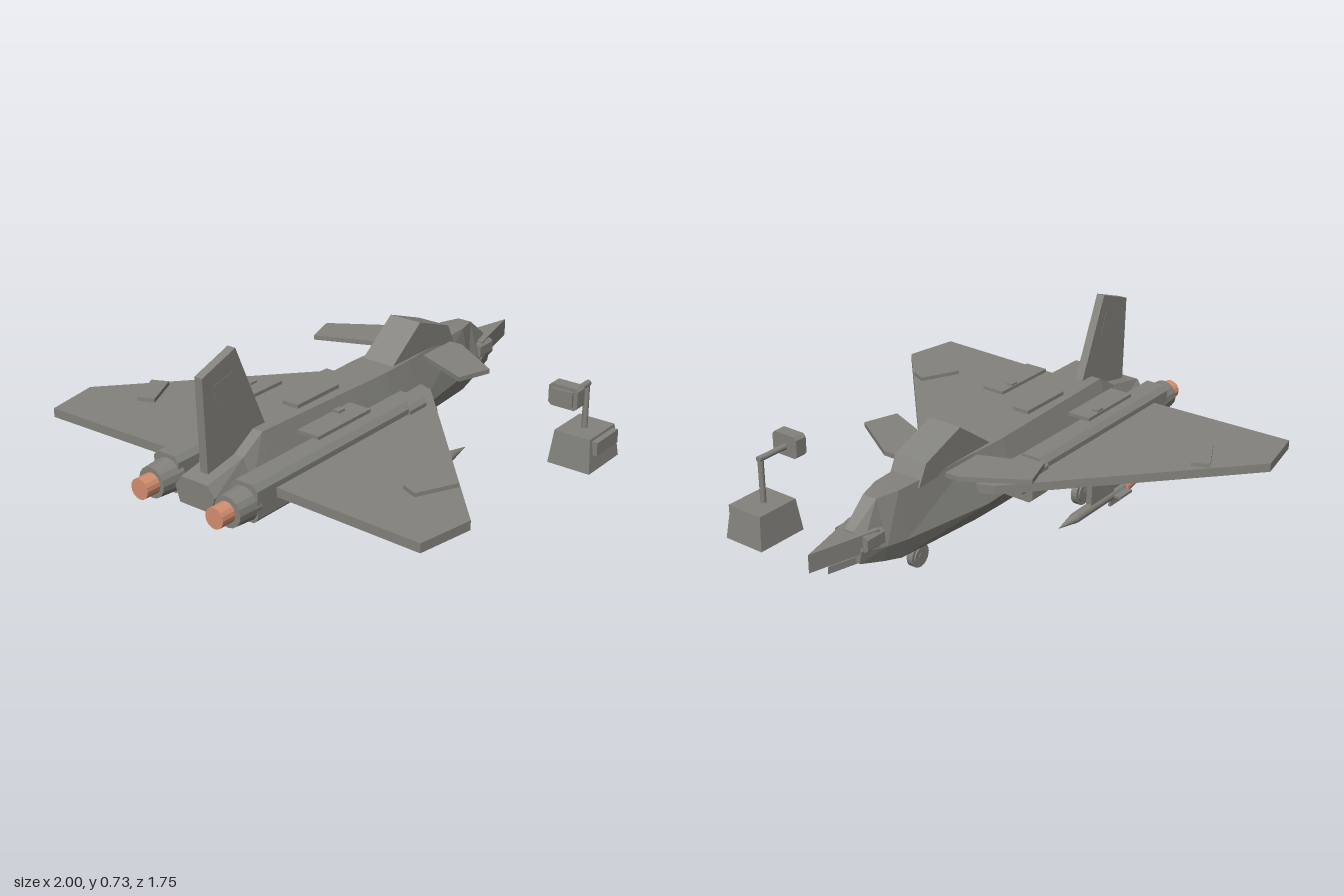
import * as THREE from 'three';

const hull = new THREE.MeshStandardMaterial({ color: 0x83827c });
hull.name = 'hull grey';
const copper = new THREE.MeshStandardMaterial({ color: 0xd48f70 });
copper.name = 'copper';
for (const m of [hull, copper]) m.flatShading = true;

export function createModel() {
  const root = new THREE.Group();
  root.name = 'jetAircraft';

  const add = (name, geo, x = 0, y = 0, z = 0, mat = hull, parent = root) => {
    const mesh = new THREE.Mesh(geo, mat);
    mesh.name = name;
    mesh.position.set(x, y, z);
    parent.add(mesh);
    return mesh;
  };
  // box given by its limits
  const box = (name, x0, x1, y0, y1, z0, z1) =>
    add(name, new THREE.BoxGeometry(x1 - x0, y1 - y0, z1 - z0), (x0 + x1) / 2, (y0 + y1) / 2, (z0 + z1) / 2);
  // round part lying along x, r1 at the +x end
  const rod = (name, x0, x1, r0, r1, y, z, mat = hull, sides = 16) =>
    add(name, new THREE.CylinderGeometry(r1, r0, x1 - x0, sides).rotateZ(-Math.PI / 2), (x0 + x1) / 2, y, z, mat);
  const shape = pts => new THREE.Shape(pts.map(p => new THREE.Vector2(p[0], p[1])));
  // flat plate, outline in x and z
  const plate = (name, pts, y0, y1, side = 1) =>
    add(name, new THREE.ExtrudeGeometry(shape(pts.map(([x, z]) => [x, -z * side])),
      { depth: y1 - y0, bevelEnabled: false }).rotateX(-Math.PI / 2), 0, y0, 0);
  // upright slab, outline in x and y, centred on z
  const slab = (name, pts, width, z = 0) =>
    add(name, new THREE.ExtrudeGeometry(shape(pts), { depth: width, bevelEnabled: false }), 0, 0, z - width / 2);

  // skin over cross-sections [x, [[y, z], ...]] with closed ends
  const loft = sections => {
    const out = [];
    const n = sections[0][1].length;
    const put = (i, j) => out.push(sections[i][0], ...sections[i][1][j % n]);
    const last = sections.length - 1;
    for (let i = 0; i < last; i++) for (let j = 0; j < n; j++) {
      put(i, j); put(i + 1, j); put(i + 1, j + 1);
      put(i, j); put(i + 1, j + 1); put(i, j + 1);
    }
    for (let j = 1; j < n - 1; j++) {
      put(0, 0); put(0, j); put(0, j + 1);
      put(last, 0); put(last, j + 1); put(last, j);
    }
    const g = new THREE.BufferGeometry();
    g.setAttribute('position', new THREE.Float32BufferAttribute(out, 3));
    g.computeVertexNormals();
    return g;
  };
  const hexRing = (top, th, mid, mh, bot, bh) =>
    [[bot, bh], [mid, mh], [top, th], [top, -th], [mid, -mh], [bot, -bh]];
  const chamferRing = (y, z, h, w, c) => [
    [y - h, z + w - c], [y - h + c, z + w], [y + h - c, z + w], [y + h, z + w - c],
    [y + h, z - w + c], [y + h - c, z - w], [y - h + c, z - w], [y - h, z - w + c]];

  // fuselage: x, then top, middle and bottom heights with half widths
  add('fuselage', loft([
    [-0.91, 0.31, 0.06, 0.27, 0.09, 0.21, 0.07],
    [-0.73, 0.345, 0.06, 0.25, 0.1, 0.155, 0.07],
    [-0.63, 0.405, 0.06, 0.24, 0.11, 0.12, 0.07],
    [0.05, 0.405, 0.085, 0.22, 0.14, 0.128, 0.08],
    [0.2, 0.405, 0.08, 0.21, 0.135, 0.13, 0.08],
    [0.6, 0.405, 0.055, 0.22, 0.085, 0.14, 0.06],
    [0.69, 0.4, 0.03, 0.23, 0.075, 0.165, 0.055],
    [0.8, 0.315, 0.02, 0.25, 0.055, 0.2, 0.045],
  ].map(([x, ...r]) => [x, hexRing(...r)])));
  add('noseCollar', loft([[0.7, chamferRing(0.275, 0, 0.03, 0.075, 0.01)],
    [0.79, chamferRing(0.275, 0, 0.03, 0.075, 0.01)]]));
  plate('nose', [[0.72, -0.07], [1, 0], [0.72, 0.07]], 0.24, 0.31);
  plate('lowerNose', [[0.66, -0.065], [0.91, 0], [0.66, 0.065]], 0.195, 0.222);
  slab('canopy', [[0.1, 0.4], [0.51, 0.38], [0.47, 0.46], [0.28, 0.53]], 0.14);
  box('spinePanel', -0.41, -0.175, 0.4, 0.42, -0.035, 0.035);

  // tail fin with an inset panel on each side
  slab('tailFin', [[-0.86, 0.28], [-0.58, 0.38], [-0.565, 0.4], [-0.705, 0.728], [-0.87, 0.67]], 0.034);
  for (const s of [-1, 1])
    slab('finPanel', [[-0.8, 0.545], [-0.69, 0.565], [-0.72, 0.65], [-0.82, 0.625]], 0.002, s * 0.017);

  for (const s of [-1, 1]) {
    // wings and foreplanes
    plate('wing', [[0.24, 0.1], [0.215, 0.17], [-0.56, 0.875], [-0.78, 0.835], [-0.76, 0.1]], 0.265, 0.3, s);
    plate('foreplane', [[0.42, 0.115], [0.42, 0.17], [0.28, 0.39], [0.145, 0.345], [0.24, 0.115]], 0.402, 0.42, s);
    plate('wingPanel', [[-0.54, 0.64], [-0.39, 0.715], [-0.36, 0.65], [-0.515, 0.575]], 0.295, 0.315, s);

    // engine
    const z = s * 0.178;
    add('engineBody', loft([[-0.86, chamferRing(0.27, z, 0.07, 0.058, 0.02)],
      [0, chamferRing(0.27, z, 0.07, 0.058, 0.02)]]));
    add('engineIntake', loft([[-0.02, chamferRing(0.263, z, 0.067, 0.068, 0.015)],
      [0.08, chamferRing(0.263, z, 0.067, 0.068, 0.015)]]));
    add('intakeLip', loft([[0.08, chamferRing(0.27, z, 0.04, 0.045, 0.01)],
      [0.112, chamferRing(0.27, z, 0.04, 0.045, 0.01)]]));
    rod('engineCollar', -0.94, -0.84, 0.058, 0.066, 0.262, s * 0.173);
    rod('nozzle', -1, -0.92, 0.039, 0.039, 0.262, s * 0.17, copper);
    const pz = s * 0.205;
    box('enginePanel', -0.56, -0.27, 0.402, 0.415, pz - 0.047, pz + 0.047);
    box('panelLatch', -0.37, -0.335, 0.41, 0.423, pz - 0.043, pz - 0.016);

    // missile under the wing
    const mz = s * 0.395;
    box('pylon', -0.22, -0.07, 0.17, 0.268, mz - 0.012, mz + 0.012);
    rod('missileBody', -0.3, 0.02, 0.02, 0.02, 0.16, mz);
    rod('missileTip', 0.02, 0.12, 0.02, 0.001, 0.16, mz);
    rod('missileFlame', -0.5, -0.295, 0.001, 0.028, 0.16, mz, copper);
    box('missileFinUpright', -0.29, -0.21, 0.112, 0.208, mz - 0.005, mz + 0.005);
    box('missileFinFlat', -0.29, -0.21, 0.155, 0.165, mz - 0.048, mz + 0.048);
  }

  // landing gear
  const wheel = (name, x, y, z, r) => {
    const gear = new THREE.Group();
    gear.name = name;
    root.add(gear);
    add('tyre', new THREE.CylinderGeometry(r, r, 0.026, 24).rotateX(Math.PI / 2), x, y, z, hull, gear);
    add('tyreWall', new THREE.CylinderGeometry(r * 0.75, r * 0.75, 0.038, 24).rotateX(Math.PI / 2), x, y, z, hull, gear);
    add('hub', new THREE.CylinderGeometry(0.014, 0.014, 0.042, 12).rotateX(Math.PI / 2), x, y, z, hull, gear);
    add('strut', new THREE.CylinderGeometry(0.01, 0.01, 0.16, 10), x, y + 0.08, z, hull, gear);
  };
  wheel('mainWheelLeft', -0.33, 0.064, 0.187, 0.056);
  wheel('mainWheelRight', -0.33, 0.064, -0.187, 0.056);
  wheel('noseWheel', 0.445, 0.062, 0, 0.047);

  // separate stand beside the aircraft: tapered base, pole, arm and head
  const base = new THREE.BoxGeometry(0.225, 0.135, 0.185);
  const p = base.attributes.position;
  for (let i = 0; i < p.count; i++)
    if (p.getY(i) > 0) p.setXYZ(i, p.getX(i) * 0.84, p.getY(i), p.getZ(i) * 0.84);
  base.computeVertexNormals();
  add('standBase', base, 0.595, 0.0685, 0.632);
  box('standPanel', 0.515, 0.675, 0.07, 0.125, 0.71, 0.735);
  add('standPole', new THREE.CylinderGeometry(0.012, 0.012, 0.2, 12), 0.593, 0.225, 0.632);
  rod('standArm', 0.45, 0.605, 0.012, 0.012, 0.318, 0.632);
  add('standHead', loft([[0.413, chamferRing(0.325, 0.632, 0.045, 0.062, 0.012)],
    [0.465, chamferRing(0.325, 0.632, 0.045, 0.062, 0.012)]]));
  box('standHeadFace', 0.403, 0.415, 0.295, 0.355, 0.587, 0.677);

  return root;
}
